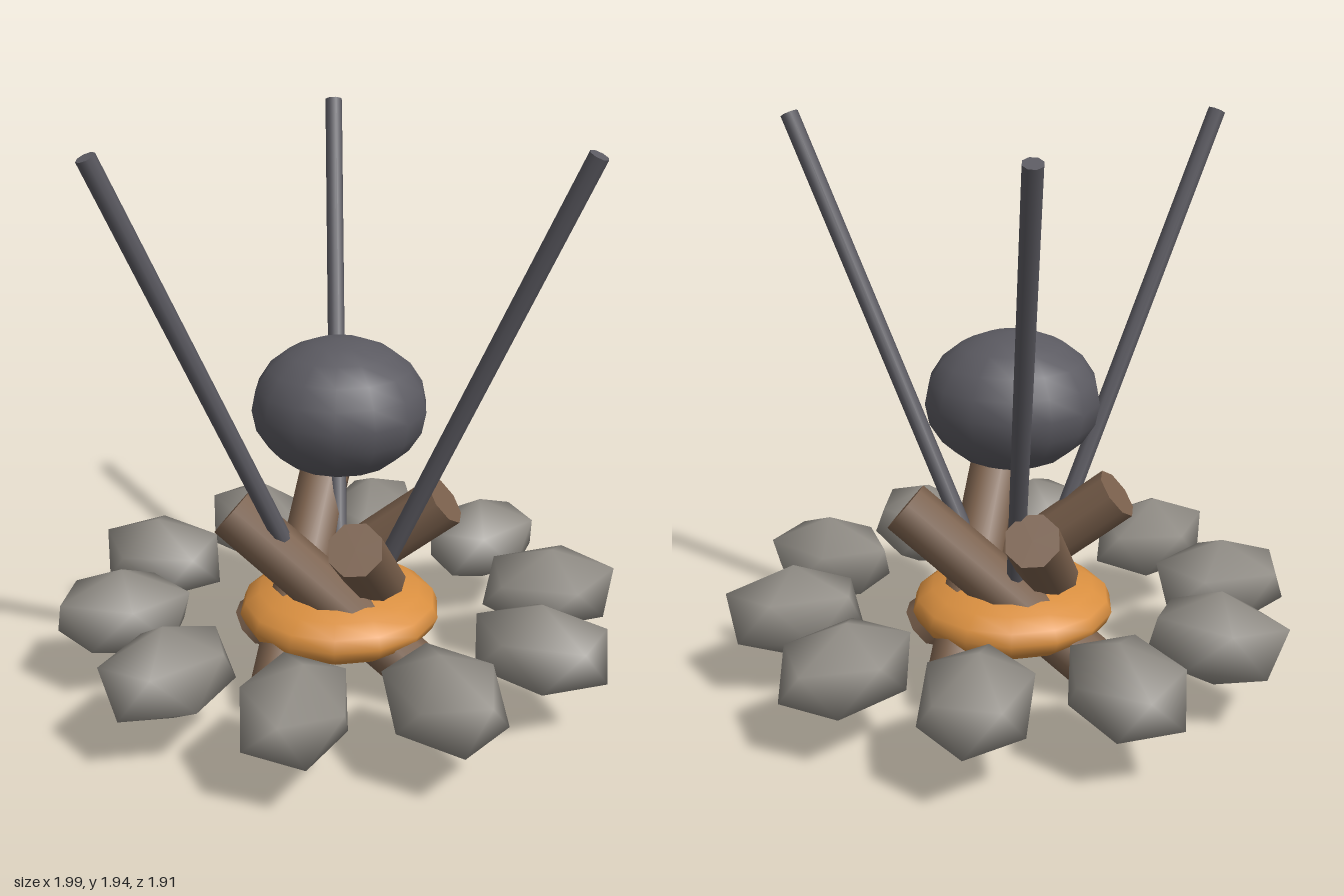
import * as THREE from 'three';
import { mergeVertices } from 'three/addons/utils/BufferGeometryUtils.js';

const mat = (name, color) => {
  const m = new THREE.MeshStandardMaterial({ color });
  m.name = name;
  return m;
};

export function createModel() {
  const stone = mat('stone', 0x908c85);
  const wood = mat('wood', 0x7a604c);
  const ember = mat('ember', 0xd98f40);
  const iron = mat('iron', 0x5b5a61);
  const group = new THREE.Group();

  const add = (name, geometry, material) => {
    const mesh = new THREE.Mesh(geometry, material);
    mesh.name = name;
    group.add(mesh);
    return mesh;
  };

  // round bar between two points
  const bar = (name, a, b, radius, sides, material) => {
    const mesh = add(name, new THREE.CylinderGeometry(radius, radius, a.distanceTo(b), sides), material);
    mesh.position.copy(a).add(b).multiplyScalar(0.5);
    mesh.quaternion.setFromUnitVectors(new THREE.Vector3(0, 1, 0), b.clone().sub(a).normalize());
    return mesh;
  };

  // flattened ball, vertex of the ring turned to the front
  const ball = (name, radius, height, y, material) => {
    const g = new THREE.SphereGeometry(1, 14, 10);
    g.rotateY(Math.PI / 2);
    g.scale(radius, height, radius);
    add(name, g, material).position.y = y;
  };

  // smooth 20-sided stone with one corner upright
  const pebble = (yaw, tilt) => {
    let g = new THREE.IcosahedronGeometry(1, 0);
    g.deleteAttribute('normal');
    g.deleteAttribute('uv');
    g = mergeVertices(g, 1e-4);
    g.rotateZ(Math.atan(2 / (1 + Math.sqrt(5))));
    g.rotateY(yaw);
    g.rotateX(tilt);
    g.scale(0.262, 0.16, 0.198);
    g.computeVertexNormals();
    return g;
  };

  // ring of stones
  for (let i = 0; i < 10; i++) {
    const angle = (i * Math.PI) / 5;
    const mesh = add('ringStone', pebble(i * 0.9, 0.15 * Math.sin(i * 2.3)), stone);
    mesh.position.set(0.76 * Math.cos(angle), 0.288, 0.76 * Math.sin(angle));
    mesh.rotation.y = -angle;
  }

  // glowing bed
  ball('emberBed', 0.355, 0.13, 0.26, ember);

  // crossed logs, one every quarter turn
  const up = new THREE.Vector3(0, 1, 0);
  for (let i = 0; i < 4; i++) {
    const low = new THREE.Vector3(0.39, 0.074, 0.04).applyAxisAngle(up, (i * Math.PI) / 2);
    const high = new THREE.Vector3(-0.3, 0.648, 0.22).applyAxisAngle(up, (i * Math.PI) / 2);
    bar('log', low, high, 0.095, 8, wood);
  }

  // tripod poles
  for (let i = 0; i < 3; i++) {
    const angle = (i * Math.PI * 2) / 3;
    const at = (r, y) => new THREE.Vector3(r * Math.cos(angle), y, r * Math.sin(angle));
    bar('tripodPole', at(0.1, 0.3), at(0.86, 1.927), 0.032, 8, iron);
  }

  // hanging pot
  ball('pot', 0.3, 0.235, 1.015, iron);

  return group;
}
